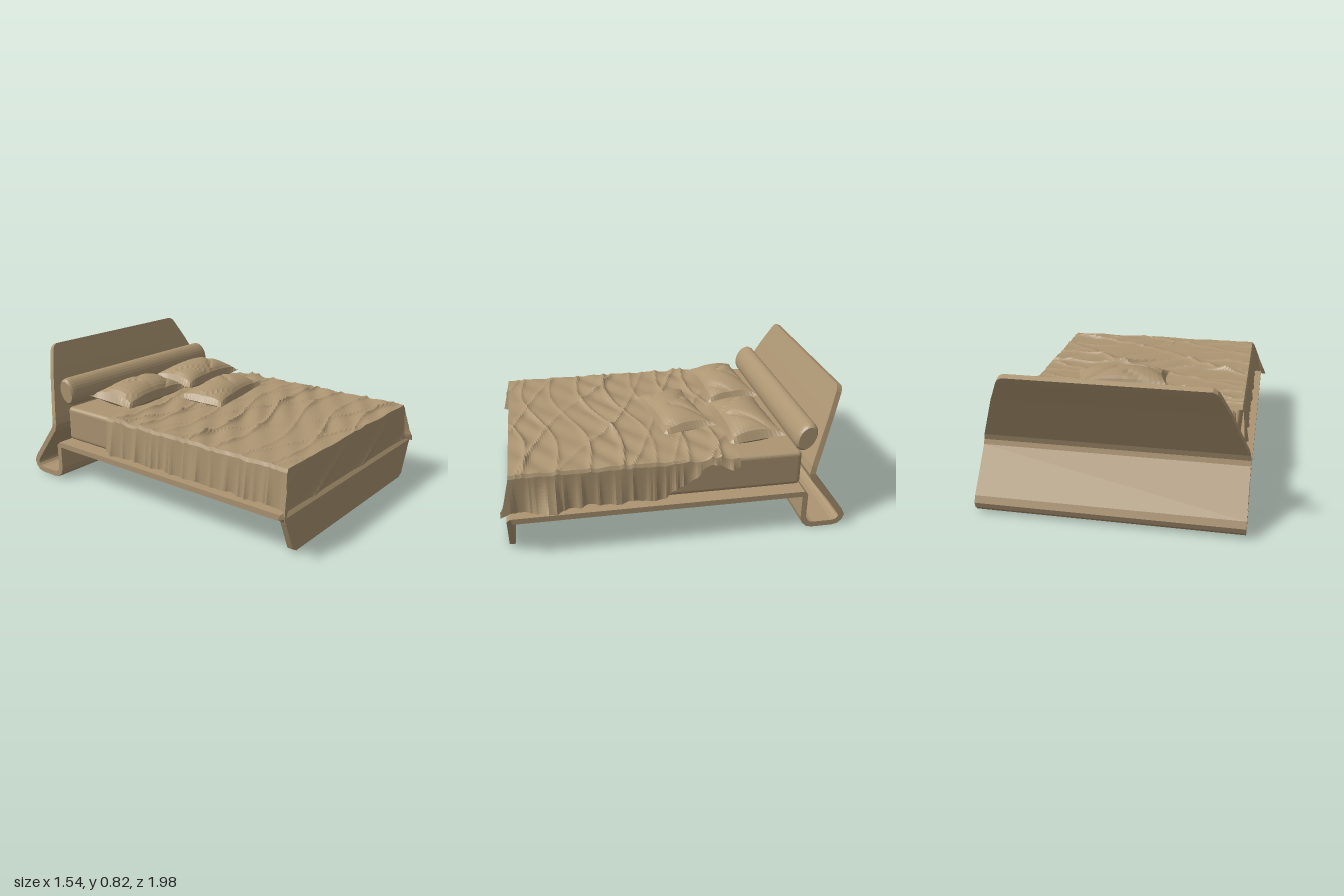
import * as THREE from 'three';
import { mergeGeometries } from 'three/addons/utils/BufferGeometryUtils.js';
import { RoundedBoxGeometry } from 'three/addons/geometries/RoundedBoxGeometry.js';

const tan = new THREE.MeshStandardMaterial({ color: 0xac9572, flatShading: true, side: THREE.DoubleSide });
tan.name = 'warm tan';

const { sin, abs, max, min, sign, exp, pow } = Math;
const clamp = THREE.MathUtils.clamp;
const bump = (d, w) => exp(-(d * d) / (w * w));
// narrow ridge repeated along t, for cloth creases
const ridge = (t, k = 4) => pow(1 - abs(sin(t)), k);

function add(group, name, geometry) {
  const mesh = new THREE.Mesh(geometry, tan);
  mesh.name = name;
  group.add(mesh);
  return mesh;
}

// Bent sheet: points are [z, y, half width], with mitred thickness
function ribbon(points, thickness) {
  const pos = [], index = [];
  const dir = (a, b) => new THREE.Vector2(b[0] - a[0], b[1] - a[1]).normalize();
  points.forEach((p, i) => {
    const before = dir(points[max(i - 1, 0)], points[max(i, 1)]);
    const last = points.length - 1;
    const after = dir(points[min(i, last - 1)], points[min(i + 1, last)]);
    const t = before.clone().add(after).normalize();
    const h = thickness / 2 / t.dot(after);
    for (const [sx, sn] of [[1, 1], [-1, 1], [-1, -1], [1, -1]])
      pos.push(sx * p[2] + 0.005, p[1] - t.x * h * sn, p[0] + t.y * h * sn);
    if (i === 0) return;
    for (let k = 0; k < 4; k++) {
      const a = (i - 1) * 4 + k, b = (i - 1) * 4 + (k + 1) % 4;
      index.push(a, a + 4, b + 4, a, b + 4, b);
    }
  });
  const e = (points.length - 1) * 4;
  index.push(0, 1, 2, 0, 2, 3, e, e + 2, e + 1, e, e + 3, e + 2);
  const g = new THREE.BufferGeometry();
  g.setAttribute('position', new THREE.Float32BufferAttribute(pos, 3));
  g.setIndex(index);
  g.computeVertexNormals();
  return g;
}

// Two puffed sheets joined at pinched edges
function pillow(width, depth, up, down, seed) {
  const sheets = [1, -1].map((s) => {
    const g = new THREE.PlaneGeometry(2, 2, 18, 14);
    g.rotateX(s * -Math.PI / 2);
    const p = g.attributes.position;
    for (let i = 0; i < p.count; i++) {
      const u = p.getX(i), v = p.getZ(i);
      const cu = max(0, 1 - u * u), cv = max(0, 1 - v * v);
      const puff = pow(cu, 0.45) * pow(cv, 0.55);
      const crease = 0.016 * ridge(3 * u + 2 * v * sign(u) + seed, 3) * puff;
      p.setXYZ(i,
        u * width / 2 * (1 - 0.1 * cv * abs(u)),
        s * (s > 0 ? up : down) * puff - s * crease + 0.012 * u * u * v * v,
        v * depth / 2 * (1 - 0.12 * cu * abs(v)));
    }
    return g;
  });
  const g = mergeGeometries(sheets);
  g.computeVertexNormals();
  return g;
}

// Sheet laid over the mattress, hanging at both sides and the foot
function blanket() {
  const g = new THREE.PlaneGeometry(2, 2, 96, 130);
  g.rotateX(-Math.PI / 2);
  const p = g.attributes.position;
  for (let i = 0; i < p.count; i++) {
    const u = p.getX(i), v = p.getZ(i), s = sign(u);
    const a = min(abs(u) / 0.75, 1) * s, b = min((v + 1) / 1.8, 1);
    const fx = max(0, abs(u) - 0.75) / 0.25, fz = max(0, v - 0.8) / 0.2;
    let x = a * 0.665, z = -0.37 + b * 1.285;
    // the left side is pulled up near the pillows
    const hang = s > 0 ? 0.05 + 0.175 * clamp((z + 0.16) / 0.22, 0, 1) : 0.225;
    const ex = fx * hang, ez = fz * 0.225;
    const drop = max(ex, ez), corner = min(fx, fz);
    // creases across the top, strongest in a few bands
    const bands = 0.35 + bump(z - 0.32, 0.17) + 0.8 * bump(z + 0.2, 0.15) + 0.7 * bump(z - 0.78, 0.13) * (x > -0.1 ? 1 : 0.4);
    const folds = 0.016 * ridge(17 * z + 2.2 * x + 0.9 * sin(5 * x), 4)
      + 0.014 * ridge(11 * z - 5 * x + 0.7 * sin(7 * z), 5)
      + 0.005 * sin(23 * x + 31 * z);
    let y = 0.47 + folds * bands * (1 - min(1, drop / 0.08)) - drop;
    if (fx > 0) {
      const pleat = 0.018 * ridge(19 * z + sin(9 * z), 2) + 0.012 * ridge(33 * z + 1.3, 2);
      x += s * (0.008 + fx * (0.012 + pleat));
      y += fx * 0.014 * sin(27 * z + s);
      // loose flare along the left side near the foot
      if (s > 0) x += fx * fx * 0.07 * bump(z - 0.71, 0.07);
    }
    if (fz > 0) z += 0.008 + fz * (0.01 + 0.012 * ridge(6 * x + 2.5 * fz, 4));
    // gathered corners
    x += s * corner * (s < 0 ? 0.075 : 0.01);
    z += corner * 0.045;
    y -= corner * 0.02;
    p.setXYZ(i, x, y, z);
  }
  g.computeVertexNormals();
  return g;
}

export function createModel() {
  const bed = new THREE.Group();
  bed.name = 'bed';

  // One continuous bent sheet: foot panel, deck, looped rear leg, headboard
  const W = 0.745;
  add(bed, 'frame', ribbon([
    [0.932, 0, 0.61], [0.932, 0.02, 0.645], [0.932, 0.2, 0.72], [0.932, 0.218, 0.735], [0.922, 0.23, W],
    [-0.735, 0.23, W], [-0.747, 0.218, W], [-0.747, 0.075, W], [-0.757, 0.043, W], [-0.777, 0.024, W], [-0.805, 0.017, W],
    [-0.925, 0.017, W], [-0.955, 0.024, W], [-0.975, 0.043, W], [-0.982, 0.065, W], [-0.968, 0.095, W],
    [-0.79, 0.325, W], [-0.778, 0.36, W], [-0.788, 0.4, 0.738], [-0.902, 0.665, 0.636],
    [-0.955, 0.785, 0.58], [-0.962, 0.801, 0.568], [-0.968, 0.815, 0.545],
  ], 0.033));

  add(bed, 'mattress', new RoundedBoxGeometry(1.32, 0.215, 1.65, 3, 0.025)).position.set(0.005, 0.353, 0.082);
  add(bed, 'blanket', blanket());

  // Long bolster leaning with the headboard
  const half = [[0, -0.66], [0.8, -0.66], [0.95, -0.645], [1, -0.62], [1, 0.62], [0.95, 0.645], [0.8, 0.66], [0, 0.66]];
  const roll = new THREE.LatheGeometry(half.map(([r, y]) => new THREE.Vector2(r, y)), 28);
  roll.rotateZ(-Math.PI / 2);
  roll.scale(1, 0.088, 0.06);
  roll.rotateX(-0.42);
  add(bed, 'bolster', roll).position.set(0.015, 0.55, -0.76);

  // Two sleeping pillows and a loose cushion
  for (const [name, x, turn, seed] of [['rightPillow', -0.265, 0.06, 0.4], ['leftPillow', 0.305, 0.04, 1.7]]) {
    const m = add(bed, name, pillow(0.58, 0.33, 0.105, 0.045, seed));
    m.position.set(x, 0.51, -0.485);
    m.rotation.set(0.08, turn, 0);
  }
  const cushion = add(bed, 'cushion', pillow(0.6, 0.32, 0.085, 0.035, 2.6));
  cushion.position.set(0.1, 0.505, -0.095);
  cushion.rotation.set(0.06, 0.16, 0);

  return bed;
}
